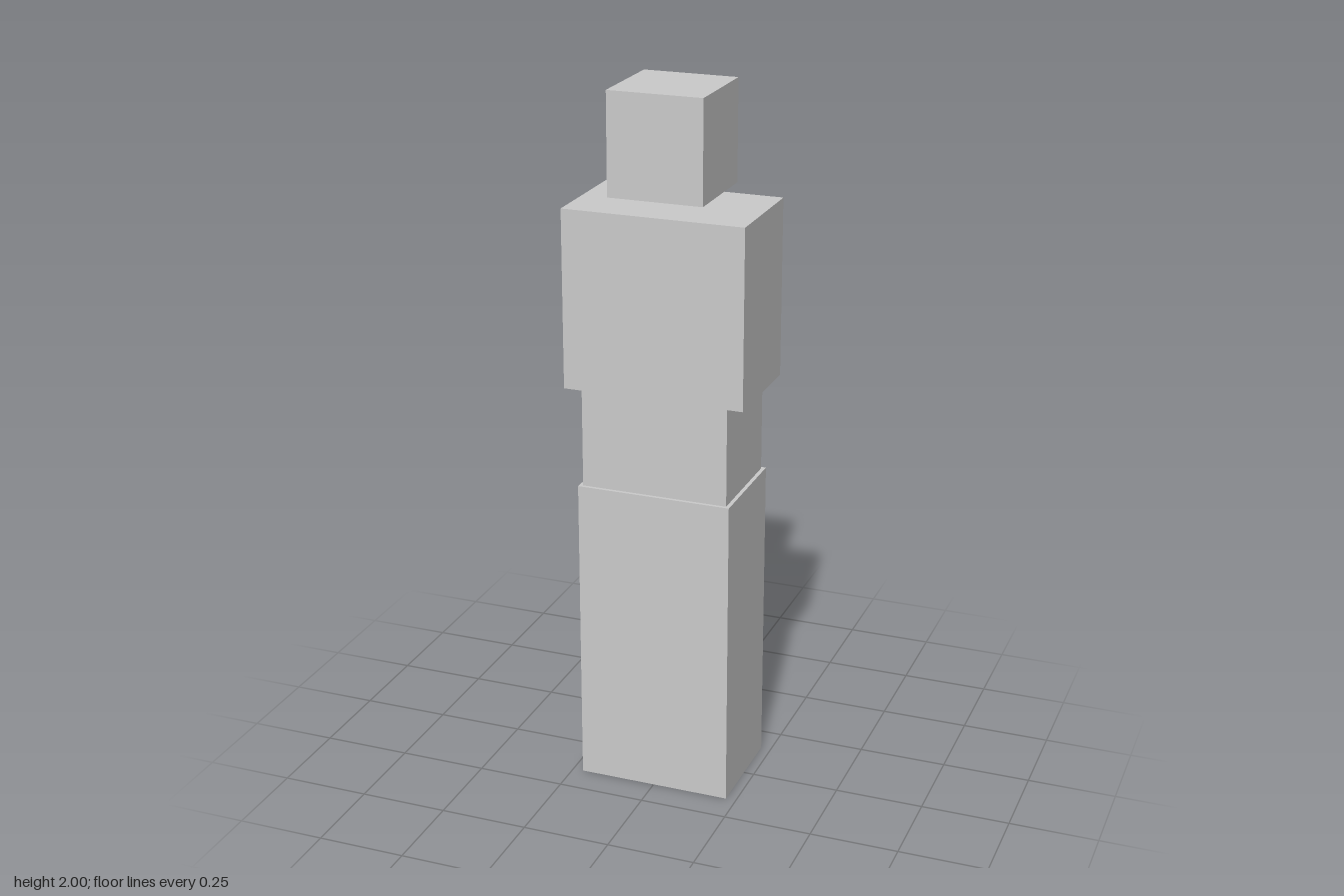
import * as THREE from 'three';

// name, width, depth, bottom, top
const PARTS = [
  ['legs', 0.44, 0.312, 0, 0.895],
  ['waist', 0.418, 0.292, 0.895, 1.177],
  ['chest', 0.513, 0.312, 1.177, 1.68],
  ['head', 0.267, 0.267, 1.716, 2], // floats just above the chest
];

export function createModel() {
  const model = new THREE.Group();
  model.name = 'blockFigure';
  const material = new THREE.MeshStandardMaterial({ color: 0xcccccc, flatShading: true });

  // Stack of plain blocks, all centred on the vertical axis
  for (const [name, width, depth, bottom, top] of PARTS) {
    const block = new THREE.Mesh(new THREE.BoxGeometry(width, top - bottom, depth), material);
    block.name = name;
    block.position.y = (bottom + top) / 2;
    model.add(block);
  }
  return model;
}
